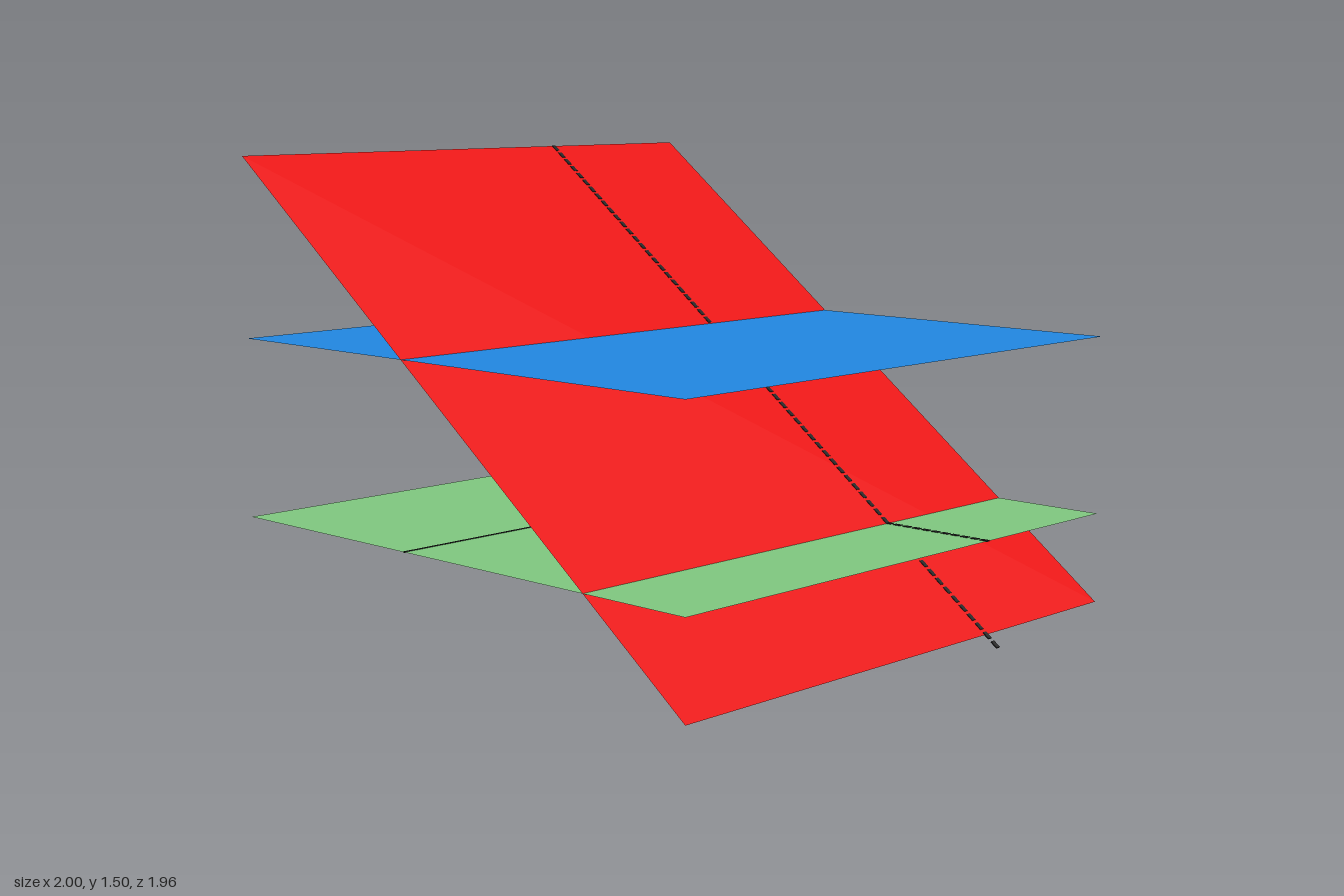
import * as THREE from 'three';

const X0 = -1, X1 = 0.955, DEPTH = 1.955;
const SLOPE = -0.75;
const SLANT = Math.atan(SLOPE);
const GREEN_Y = 0.33, BLUE_Y = 0.915, LINE_Z = -0.375;

function material(color) {
  return new THREE.MeshStandardMaterial({ color, side: THREE.DoubleSide });
}

// Flat sheet running along x from its left edge, tilted about z
function sheet(name, y, length, tilt, color) {
  const geometry = new THREE.PlaneGeometry(length, DEPTH);
  geometry.rotateX(-Math.PI / 2);
  geometry.translate(length / 2, 0, 0);
  const mesh = new THREE.Mesh(geometry, material(color));
  mesh.name = name;
  mesh.position.set(X0, y, 0);
  mesh.rotation.z = tilt;
  return mesh;
}

// Row of thin dashes lying in a sheet, visible from both sides
function dashedLine(name, y, length, tilt, count, mat) {
  const line = new THREE.Group();
  line.name = name;
  const step = length / (count - 0.3);
  const geometry = new THREE.BoxGeometry(step * 0.7, 0.004, 0.016);
  for (let i = 0; i < count; i++) {
    const dash = new THREE.Mesh(geometry, mat);
    dash.name = 'dash';
    dash.position.x = step * (i + 0.35);
    line.add(dash);
  }
  line.position.set(X0, y, LINE_Z);
  line.rotation.z = tilt;
  return line;
}

export function createModel() {
  const model = new THREE.Group();
  model.name = 'intersectingPlanes';
  const dark = material(0x222222);
  const width = X1 - X0;

  // Two level planes and the sloping plane that cuts both
  model.add(sheet('lowerPlane', GREEN_Y, width, 0, 0x7fc67f));
  model.add(sheet('upperPlane', BLUE_Y, width, 0, 0x2186e0));
  model.add(sheet('slopingPlane', 1.5, width / Math.cos(SLANT), SLANT, 0xe60f0f));

  // Slope line, and its projection on the lower plane
  model.add(dashedLine('slopeLine', 1.5, 2 / Math.cos(SLANT), SLANT, 64, dark));
  model.add(dashedLine('projectedSlopeLine', GREEN_Y, width, 0, 52, dark));

  // Projection of the upper intersection on the lower plane
  const trace = new THREE.Mesh(new THREE.BoxGeometry(0.006, 0.004, DEPTH), dark);
  trace.name = 'projectedIntersectionLine';
  trace.position.set(X0 + (BLUE_Y - 1.5) / SLOPE, GREEN_Y, 0);
  model.add(trace);

  return model;
}
